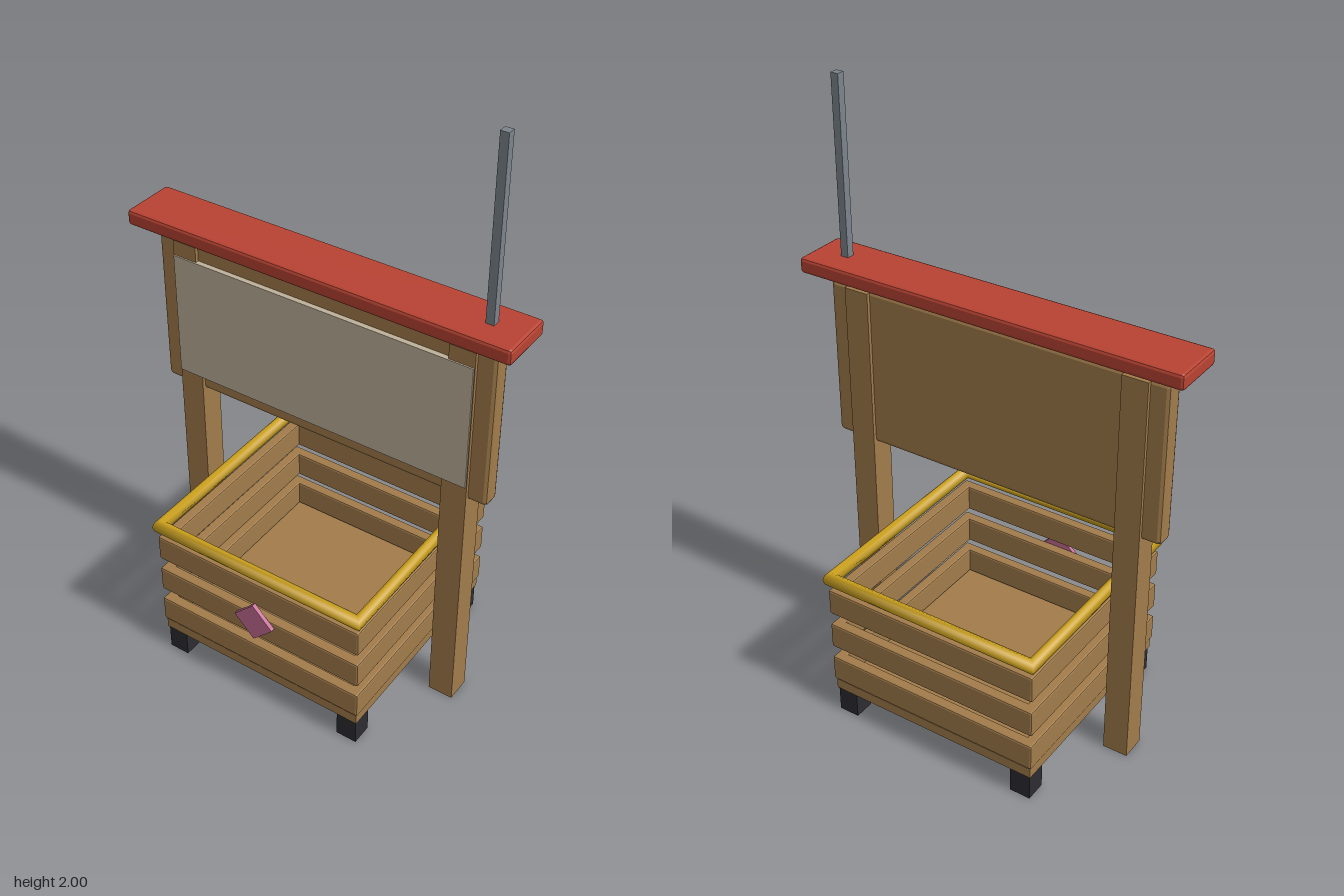
import * as THREE from 'three';
import { RoundedBoxGeometry } from 'three/addons/geometries/RoundedBoxGeometry.js';

const material = (name, color) => {
  const m = new THREE.MeshStandardMaterial({ color });
  m.name = name;
  return m;
};

export function createModel() {
  const wood = material('wood', 0xa27c4b);
  const red = material('red paint', 0xb84333);
  const gold = material('gold rim', 0xcda21e);
  const canvas = material('pale panel', 0xc0b29b);
  const steel = material('steel', 0x7c848c);
  const rubber = material('dark feet', 0x2c2c32);
  const pink = material('pink badge', 0xc46c94);

  const model = new THREE.Group();
  model.name = 'basketWithSignboard';

  const add = (name, geometry, mat, x, y, z, parent = model) => {
    const mesh = new THREE.Mesh(geometry, mat);
    mesh.name = name;
    mesh.position.set(x, y, z);
    parent.add(mesh);
    return mesh;
  };
  const box = (w, h, d) => new THREE.BoxGeometry(w, h, d);
  // Box with a flat chamfer along every edge
  const chamferBox = (w, h, d, bevel) => {
    const g = new RoundedBoxGeometry(w, h, d, 1, bevel);
    g.computeVertexNormals();
    return g;
  };

  // Basket: floor, feet, slatted walls
  const basket = new THREE.Group();
  basket.name = 'basket';
  model.add(basket);
  add('floor', box(0.74, 0.035, 0.74), wood, 0, 0.1075, 0, basket);
  for (const x of [-0.331, 0.331]) {
    for (const z of [-0.331, 0.331]) {
      add('foot', box(0.07, 0.09, 0.07), rubber, x, 0.045, z, basket);
    }
  }
  for (const y of [0.175, 0.307, 0.439]) {
    for (const s of [-1, 1]) {
      add('wallSlat', chamferBox(0.752, 0.09, 0.036, 0.006), wood, 0, y, s * 0.358, basket);
      add('sideSlat', chamferBox(0.036, 0.09, 0.752, 0.006), wood, s * 0.358, y, 0, basket);
    }
  }

  // Square rim: a four-sided ring turned so its sides line up with the walls
  const rim = new THREE.TorusGeometry(0.522, 0.025, 8, 4);
  rim.rotateZ(Math.PI / 4).rotateX(-Math.PI / 2);
  add('rim', rim, gold, 0, 0.525, 0, basket);

  // Diamond badge on the front wall
  const badge = add('badge', box(0.1, 0.1, 0.014), pink, 0, 0.333, 0.383, basket);
  badge.rotation.z = Math.PI / 4;

  // Signboard on two posts
  for (const s of [-1, 1]) {
    add('post', box(0.084, 1.35, 0.084), wood, s * 0.478, 0.675, 0);
  }
  add('board', chamferBox(1.166, 0.53, 0.06, 0.014), wood, 0, 1.091, 0);
  add('signPanel', box(1.034, 0.42, 0.018), canvas, 0, 1.09, 0.038);

  // Roof plank and mast
  add('roof', chamferBox(1.296, 0.05, 0.184, 0.01), red, 0, 1.41, 0);
  add('mast', box(0.026, 0.57, 0.026), steel, 0.538, 1.715, 0);

  // Centre the whole, as the badge projects forward
  for (const part of model.children) part.position.z -= 0.003;
  return model;
}
